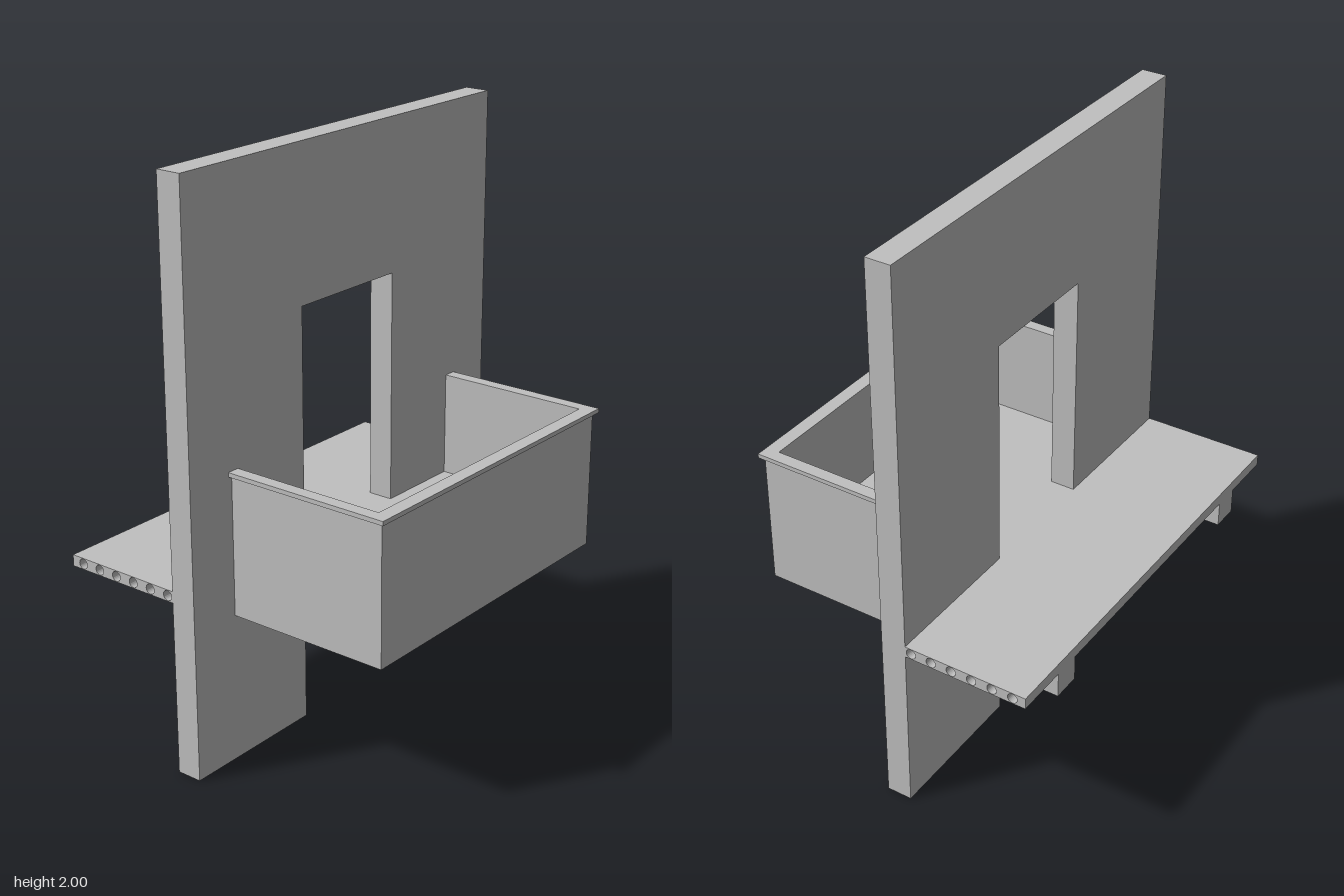
import * as THREE from 'three';

const HALF = 0.775;              // half width of wall and floor slab
const BACK = -0.57, WALL_BACK = -0.125, WALL_FRONT = -0.035;
const FLOOR = 0.65, BASE = 0.52; // floor level, underside of balcony and beams

export function createModel() {
  const model = new THREE.Group();
  model.name = 'balconySection';
  const concrete = new THREE.MeshStandardMaterial({ color: 0xc0c0c0 });
  concrete.name = 'concrete grey';

  const add = (name, geometry) => {
    const mesh = new THREE.Mesh(geometry, concrete);
    mesh.name = name;
    model.add(mesh);
  };
  const polygon = (points) => new THREE.Shape(points.map(([x, y]) => new THREE.Vector2(x, y)));
  const extrude = (shape, depth) =>
    new THREE.ExtrudeGeometry(shape, { depth, bevelEnabled: false, curveSegments: 12 });
  const box = (x0, x1, y0, y1, z0, z1) =>
    new THREE.BoxGeometry(x1 - x0, y1 - y0, z1 - z0)
      .translate((x0 + x1) / 2, (y0 + y1) / 2, (z0 + z1) / 2);

  // Wall with a notch at the bottom and a doorway above the floor
  const door = 0.235;
  const wall = polygon([
    [-HALF, 0], [-door, 0], [-door, 0.43], [door, 0.43],
    [door, 0], [HALF, 0], [HALF, 2], [-HALF, 2],
  ]);
  wall.holes.push(polygon([[-door, FLOOR], [-door, 1.47], [door, 1.47], [door, FLOOR]]));
  add('wall', extrude(wall, WALL_FRONT - WALL_BACK).translate(0, 0, WALL_BACK));

  // Hollow-core floor slab: side profile with round channels running along x
  const slab = polygon([[BACK, 0.61], [WALL_BACK, 0.61], [WALL_BACK, FLOOR], [BACK, FLOOR]]);
  for (let i = 0; i < 6; i++) {
    slab.holes.push(new THREE.Path().absarc(-0.147 - i * 0.0752, 0.63, 0.0175, 0, Math.PI * 2, true));
  }
  add('floorSlab', extrude(slab, HALF * 2).rotateY(-Math.PI / 2).translate(HALF, 0, 0));

  // Two beams carrying the slab
  add('rightBeam', box(-0.585, -0.485, BASE, 0.61, BACK, WALL_BACK));
  add('leftBeam', box(0.485, 0.585, BASE, 0.61, BACK, WALL_BACK));

  // Balcony: floor, U-shaped parapet and overhanging coping
  const uShape = (outX, outZ, inX, inZ) => polygon([
    [-outX, WALL_FRONT], [-inX, WALL_FRONT], [-inX, inZ], [inX, inZ],
    [inX, WALL_FRONT], [outX, WALL_FRONT], [outX, outZ], [-outX, outZ],
  ]);
  const ring = (shape, bottom, top) =>
    extrude(shape, top - bottom).rotateX(Math.PI / 2).translate(0, top, 0);
  add('balconyFloor', box(-0.555, 0.555, BASE, FLOOR, WALL_FRONT, 0.52));
  add('parapet', ring(uShape(0.585, 0.555, 0.555, 0.52), BASE, 1.005));
  add('coping', ring(uShape(0.6, 0.57, 0.555, 0.52), 1.005, 1.02));

  return model;
}
